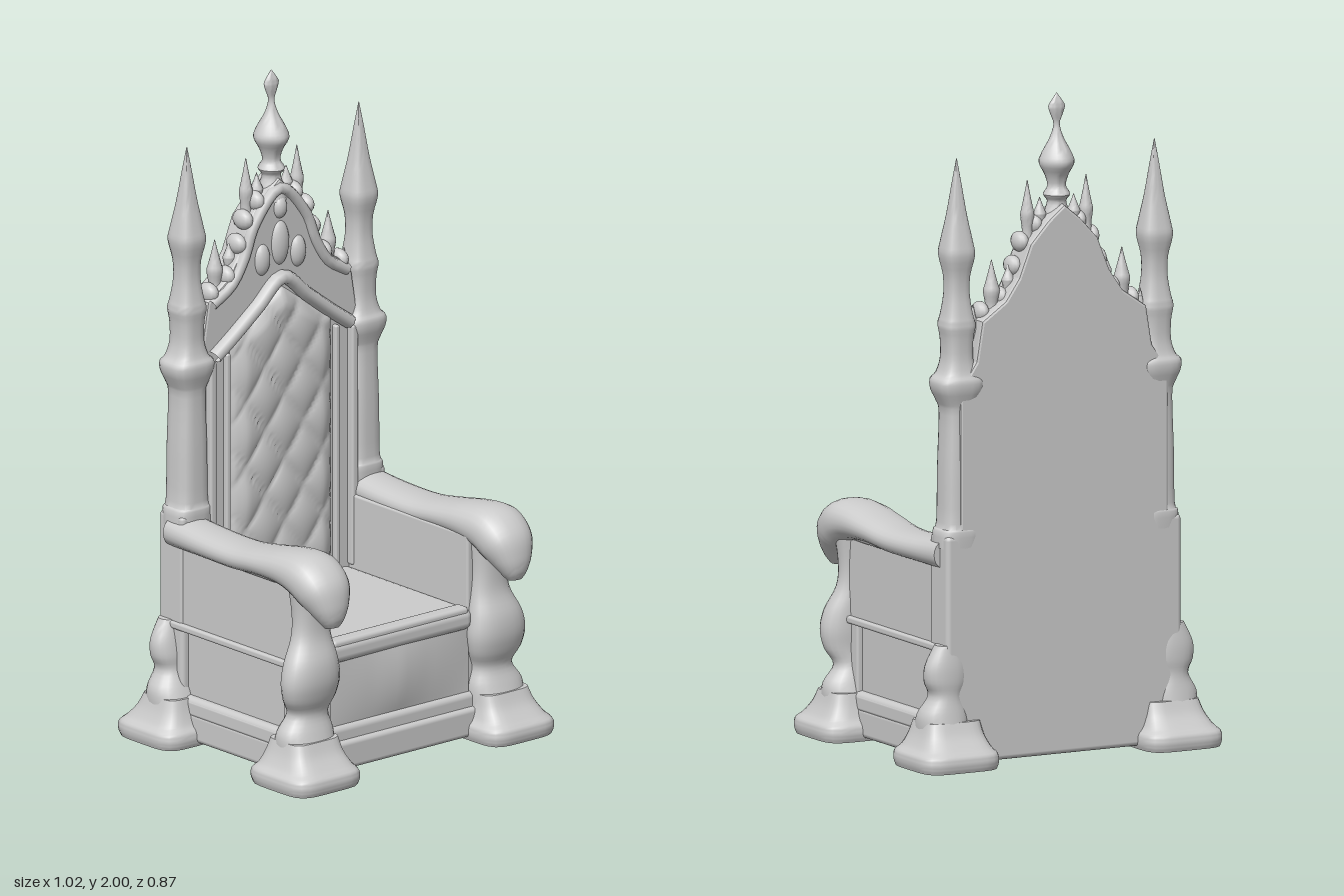
import * as THREE from 'three';
import { toCreasedNormals } from 'three/addons/utils/BufferGeometryUtils.js';
import { RoundedBoxGeometry } from 'three/addons/geometries/RoundedBoxGeometry.js';

const grey = new THREE.MeshStandardMaterial({ color: 0xcccccc, side: THREE.DoubleSide });

// Catmull-Rom through rows of numbers
function smoothRows(rows, steps) {
  const out = [], at = i => rows[Math.min(Math.max(i, 0), rows.length - 1)];
  for (let i = 0; i < rows.length - 1; i++)
    for (let k = 0; k < steps; k++) {
      const t = k / steps;
      out.push(rows[i].map((b, j) => {
        const a = at(i - 1)[j], c = at(i + 1)[j], d = at(i + 2)[j];
        return b + 0.5 * t * (c - a + t * (2 * a - 5 * b + 4 * c - d + t * (3 * (b - c) + d - a)));
      }));
    }
  out.push(rows.at(-1));
  return out;
}

// Loft of squircle sections [x, y, z, halfX, halfDepth, tilt in degrees]
function loft(rows, { steps = 4, power = 2, sides = 24 } = {}) {
  const secs = steps > 1 ? smoothRows(rows, steps) : rows, pos = [], idx = [];
  for (const [x, y, z, hu, hv, tilt = 0] of secs) {
    const a = THREE.MathUtils.degToRad(tilt);
    for (let i = 0; i < sides; i++) {
      const t = (i / sides) * Math.PI * 2, c = Math.cos(t), s = Math.sin(t);
      const r = Math.pow(Math.abs(c) ** power + Math.abs(s) ** power, -1 / power);
      const v = r * s * Math.max(hv, 0.001);
      pos.push(x + r * c * Math.max(hu, 0.001), y + v * Math.sin(a), z - v * Math.cos(a));
    }
  }
  const last = secs.length - 1, base = pos.length / 3;
  for (let j = 0; j < last; j++)
    for (let i = 0; i < sides; i++) {
      const a = j * sides + i, b = j * sides + (i + 1) % sides;
      idx.push(a, b, b + sides, a, b + sides, a + sides);
    }
  pos.push(...secs[0].slice(0, 3), ...secs[last].slice(0, 3));
  for (let i = 0; i < sides; i++) {
    const k = (i + 1) % sides;
    idx.push(base, k, i, base + 1, last * sides + i, last * sides + k);
  }
  const g = new THREE.BufferGeometry();
  g.setAttribute('position', new THREE.Float32BufferAttribute(pos, 3));
  g.setIndex(idx);
  return toCreasedNormals(g, 0.8);
}

export function createModel() {
  const root = new THREE.Group();
  root.name = 'throne';
  const add = (name, geo) => {
    const m = new THREE.Mesh(geo, grey);
    m.name = name;
    root.add(m);
    return m;
  };
  // rounded box from its limits
  const box = (name, x0, x1, y0, y1, z0, z1, r = 0.008) => {
    const m = add(name, new RoundedBoxGeometry(x1 - x0, y1 - y0, z1 - z0, 2, r));
    m.position.set((x0 + x1) / 2, (y0 + y1) / 2, (z0 + z1) / 2);
  };
  const sideBox = (name, s, a, b, ...rest) => box(name, Math.min(s * a, s * b), Math.max(s * a, s * b), ...rest);
  const rod = (name, pts, r, depth = 1) => {
    const path = new THREE.CatmullRomCurve3(pts.map(p => new THREE.Vector3(p[0], p[1], 0)), false, 'centripetal');
    const m = add(name, new THREE.TubeGeometry(path, 28, r, 8));
    m.scale.z = depth;
    return m;
  };
  // upright turned part from [y, halfX, halfZ]
  const spire = (name, x, z, rows, opt) => add(name, loft(rows.map(([y, hx, hz = hx]) => [x, y, z, hx, hz]), opt));

  // Base and seat
  box('base', -0.4, 0.4, 0.01, 0.1, -0.345, 0.315, 0.015);
  box('baseMoulding', -0.4, 0.4, 0.08, 0.145, -0.34, 0.3, 0.02);
  box('seatBody', -0.375, 0.375, 0.1, 0.37, -0.335, 0.28);
  box('seatCushion', -0.28, 0.28, 0.34, 0.405, -0.3, 0.305, 0.025);
  box('seatFrontLip', -0.265, 0.265, 0.385, 0.413, 0.25, 0.3, 0.012);
  const drape = new THREE.PlaneGeometry(0.54, 0.24, 28, 14), dp = drape.attributes.position;
  for (let i = 0; i < dp.count; i++) {
    const u = dp.getX(i) / 0.27, v = dp.getY(i) / 0.12;
    dp.setZ(i, 0.012 * (1 - u * u) * (1 - v * v) + 0.006 * Math.max(0, 1 - Math.abs(u) * 2.5) * (1 - v * v));
  }
  drape.computeVertexNormals();
  add('seatFront', drape).position.set(0, 0.265, 0.289);

  for (const s of [1, -1]) {
    // Side walls with a recessed lower panel
    sideBox('armPanel', s, 0.27, 0.395, 0.35, 0.63, -0.32, 0.285);
    sideBox('armPanelLedge', s, 0.3, 0.408, 0.345, 0.368, -0.3, 0.295);
    sideBox('armTopLedge', s, 0.3, 0.408, 0.6, 0.635, -0.29, 0.3, 0.012);
    sideBox('panelBottomRail', s, 0.33, 0.4, 0.09, 0.135, -0.3, 0.28);
    for (const z of [-0.27, 0.245]) sideBox('panelStile', s, 0.33, 0.393, 0.1, 0.36, z - 0.03, z + 0.03);

    // Arm with a curled-over end
    add('armRest', loft([
      [0.35, 0.64, -0.3, 0.07, 0.05, 90], [0.35, 0.633, -0.15, 0.074, 0.042, 90],
      [0.352, 0.632, 0, 0.078, 0.04, 90], [0.354, 0.645, 0.12, 0.085, 0.043, 87],
      [0.355, 0.652, 0.23, 0.091, 0.056, 90], [0.358, 0.642, 0.31, 0.092, 0.07, 110],
      [0.358, 0.605, 0.362, 0.084, 0.068, 135], [0.358, 0.56, 0.387, 0.062, 0.05, 155],
      [0.358, 0.525, 0.397, 0.04, 0.034, 165], [0.358, 0.503, 0.398, 0.022, 0.02, 170],
    ].map(r => [r[0] * s, ...r.slice(1)]), { power: 2.3, steps: 5 }));

    // Feet
    for (const f of [1, -1]) add('foot', loft([
      [0.38, 0, 0.302, 0.125, 0.128], [0.38, 0.02, 0.302, 0.131, 0.134], [0.38, 0.045, 0.302, 0.129, 0.131],
      [0.378, 0.065, 0.3, 0.112, 0.113], [0.375, 0.1, 0.292, 0.097, 0.09], [0.372, 0.14, 0.288, 0.088, 0.074],
    ].map(([x, y, z, a, b]) => [x * s, y, z * f, a, b]), { power: 5, sides: 40 }));

    // Front and back legs
    add('frontLeg', loft([
      [0.37, 0.1, 0.288, 0.093, 0.083], [0.37, 0.16, 0.287, 0.092, 0.062], [0.36, 0.215, 0.287, 0.068, 0.045],
      [0.363, 0.265, 0.3, 0.09, 0.05], [0.363, 0.32, 0.305, 0.1, 0.057], [0.36, 0.38, 0.303, 0.09, 0.055],
      [0.35, 0.45, 0.292, 0.066, 0.043], [0.35, 0.52, 0.29, 0.06, 0.042], [0.353, 0.62, 0.29, 0.07, 0.05],
    ].map(r => [r[0] * s, ...r.slice(1)]), { power: 2.4 }));
    add('backLeg', loft([
      [0.39, 0.1, -0.288, 0.075, 0.083], [0.39, 0.16, -0.295, 0.075, 0.064], [0.385, 0.215, -0.303, 0.05, 0.046],
      [0.385, 0.26, -0.305, 0.066, 0.047], [0.385, 0.31, -0.308, 0.065, 0.042], [0.38, 0.37, -0.31, 0.04, 0.03],
    ].map(r => [r[0] * s, ...r.slice(1)]), { power: 2.4 }));

    // Back posts, capitals and corner spires
    sideBox('lowerPost', s, 0.28, 0.4, 0.05, 0.7, -0.345, -0.235, 0.015);
    spire('backPost', s * 0.337, -0.288, [
      [0.66, 0.066, 0.057], [0.71, 0.065, 0.059], [0.735, 0.054, 0.054], [0.9, 0.051, 0.053], [1.06, 0.046, 0.05],
      [1.1, 0.056, 0.055], [1.135, 0.072, 0.065], [1.165, 0.074, 0.066], [1.185, 0.056, 0.055],
      [1.23, 0.043, 0.046], [1.29, 0.044, 0.047], [1.33, 0.051, 0.051], [1.36, 0.044, 0.045], [1.42, 0.035, 0.036],
      [1.48, 0.036, 0.038], [1.54, 0.049, 0.05], [1.58, 0.044, 0.044], [1.66, 0.028, 0.028], [1.75, 0.014, 0.014],
      [1.83, 0.001, 0.001]], { power: 3.5, steps: 3 });
    sideBox('backStile', s, 0.265, 0.29, 0.41, 1.16, -0.27, -0.232);
    sideBox('backBead', s, 0.205, 0.222, 0.41, 1.17, -0.265, -0.238, 0.006);

    // Pinnacles climbing the gable: [x, foot, tip, half width]
    for (const [x, y, tip, w] of [[0.285, 1.24, 1.385, 0.017], [0.222, 1.33, 1.515, 0.025],
      [0.165, 1.4, 1.5, 0.02], [0.1, 1.54, 1.745, 0.021], [0.058, 1.59, 1.69, 0.02]]) {
      const h = tip - y;
      spire('pinnacle', s * x, -0.295, [[y, w * 1.1], [y + h * 0.25, w * 0.75], [y + h * 0.48, w],
        [y + h * 0.6, w * 0.8], [y + h * 0.8, w * 0.4], [tip, 0.001]], { sides: 12, steps: 3 });
    }
    // Leafy bumps on the gable edge
    for (const [x, y] of [[0.255, 1.36], [0.19, 1.4], [0.145, 1.49], [0.12, 1.56], [0.075, 1.61]]) {
      const leaf = add('gableLeaf', new THREE.SphereGeometry(0.026, 14, 10));
      leaf.position.set(s * x, y, -0.285);
      leaf.scale.set(0.9, 1.2, 1.5);
    }
  }

  // Back board with gable
  const half = [[0.355, 0.02], [0.355, 1.14], [0.3, 1.22], [0.28, 1.34], [0.2, 1.395], [0.155, 1.46],
    [0.115, 1.56], [0.055, 1.625], [0, 1.67]];
  const outline = new THREE.Shape([...half, ...half.slice(0, -1).reverse().map(([x, y]) => [-x, y])]
    .map(p => new THREE.Vector2(...p)));
  const board = new THREE.ExtrudeGeometry(outline,
    { depth: 0.07, bevelEnabled: true, bevelSize: 0.008, bevelThickness: 0.01, bevelOffset: -0.008, bevelSegments: 2 });
  add('backBoard', board).position.z = -0.335;

  // Mouldings on the gable
  rod('gableEdge', [[-0.265, 1.33], [-0.19, 1.375], [-0.14, 1.45], [-0.1, 1.545], [0, 1.64],
    [0.1, 1.545], [0.14, 1.45], [0.19, 1.375], [0.265, 1.33]], 0.018).position.z = -0.258;
  rod('archMoulding', [[-0.265, 1.17], [-0.2, 1.215], [-0.1, 1.29], [0, 1.365], [0.1, 1.29], [0.2, 1.215], [0.265, 1.17]],
    0.022, 1.2).position.z = -0.248;
  for (const [x, y, a, b] of [[0, 1.47, 0.035, 0.07], [-0.07, 1.43, 0.03, 0.05], [0.07, 1.43, 0.03, 0.05], [0, 1.58, 0.025, 0.035]]) {
    const m = add('gableCarving', new THREE.SphereGeometry(1, 16, 12));
    m.position.set(x, y, -0.26);
    m.scale.set(a, b, 0.024);
  }

  // Tufted back cushion: diamonds with pinched corners
  const pad = new THREE.PlaneGeometry(0.4, 1, 36, 80), pp = pad.attributes.position;
  for (let i = 0; i < pp.count; i++) {
    const x = pp.getX(i), v = pp.getY(i) + 0.5, y = 0.4 + v * (0.94 - 0.7 * Math.abs(x));
    const a = Math.PI * (x / 0.15 + y / 0.2), b = Math.PI * (x / 0.15 - y / 0.2);
    const edge = Math.min(1, (0.2 - Math.abs(x)) / 0.05, v / 0.06, (1 - v) / 0.06);
    pp.setXYZ(i, x, y, -0.258 + Math.sqrt(Math.max(edge, 0)) * (0.018 + 0.016 * Math.sqrt(Math.abs(Math.sin(a) * Math.sin(b)))));
  }
  pad.computeVertexNormals();
  add('backCushion', pad);

  // Central finial
  spire('finial', 0, -0.295, [[1.6, 0.05], [1.64, 0.04], [1.675, 0.03], [1.695, 0.042, 0.045], [1.72, 0.029],
    [1.755, 0.038], [1.79, 0.055, 0.06], [1.82, 0.046, 0.05], [1.865, 0.022], [1.905, 0.01], [1.935, 0.02, 0.013],
    [1.96, 0.028, 0.015], [1.98, 0.016, 0.01], [2, 0.001]], { power: 1.7, steps: 3 });

  return root;
}
